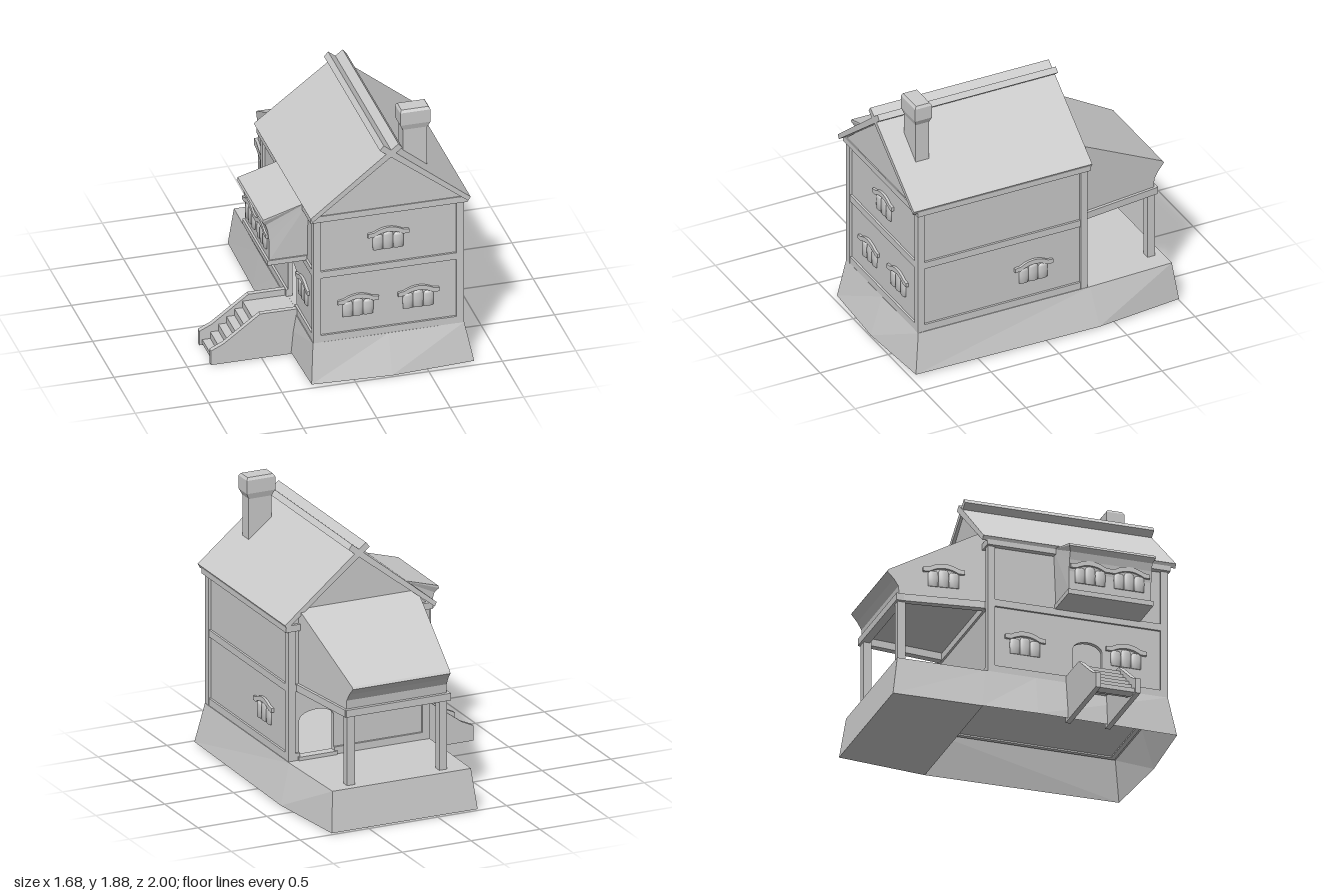
import * as THREE from 'three';
import { ConvexGeometry } from 'three/addons/geometries/ConvexGeometry.js';

const mat = new THREE.MeshStandardMaterial({ color: 0xcccccc, flatShading: true, side: THREE.DoubleSide });
const smooth = new THREE.MeshStandardMaterial({ color: 0xcccccc, side: THREE.DoubleSide });
const q = Math.PI / 2;

function add(parent, name, geometry, material = mat) {
  const mesh = new THREE.Mesh(geometry, material);
  mesh.name = name;
  parent.add(mesh);
  return mesh;
}

// Box given by its limits on each axis
function box(parent, name, x0, x1, y0, y1, z0, z1) {
  const mesh = add(parent, name, new THREE.BoxGeometry(x1 - x0, y1 - y0, z1 - z0));
  mesh.position.set((x0 + x1) / 2, (y0 + y1) / 2, (z0 + z1) / 2);
}

// Profile in x,y extruded from z0 to z1
function prism(points, z0, z1) {
  const shape = new THREE.Shape(points.map(p => new THREE.Vector2(...p)));
  return new THREE.ExtrudeGeometry(shape, { depth: z1 - z0, bevelEnabled: false }).translate(0, 0, z0);
}

// Move every vertex by a rule
function bend(g, rule) {
  const p = g.attributes.position, v = new THREE.Vector3();
  for (let i = 0; i < p.count; i++) {
    v.fromBufferAttribute(p, i);
    rule(v);
    p.setXYZ(i, v.x, v.y, v.z);
  }
  g.computeVertexNormals();
  return g;
}

// Window of three bulging panes under a curved hood, facing local +z
function addWindow(parent, x, y, z, turn) {
  const win = new THREE.Group();
  win.name = 'window';
  const profile = [[0, 0], [0.034, 0], [0.036, 0.06], [0.035, 0.095], [0.027, 0.112], [0, 0.118]]
    .map(p => new THREE.Vector2(...p));
  for (const i of [-1, 0, 1]) {
    const pane = add(win, 'windowPane', new THREE.LatheGeometry(profile, 14), smooth);
    pane.position.x = i * 0.07;
    pane.scale.set(1, i ? 0.95 : 1.08, 0.42);
  }
  const hood = new THREE.Shape();
  hood.moveTo(-0.14, 0.1);
  hood.lineTo(-0.1, 0.1);
  hood.quadraticCurveTo(0, 0.16, 0.1, 0.1);
  hood.lineTo(0.14, 0.1);
  hood.lineTo(0.14, 0.128);
  hood.lineTo(0.1, 0.133);
  hood.quadraticCurveTo(0, 0.192, -0.1, 0.133);
  hood.lineTo(-0.14, 0.128);
  add(win, 'windowHood', new THREE.ExtrudeGeometry(hood, { depth: 0.018, bevelEnabled: false, curveSegments: 8 }));
  win.position.set(x, y, z);
  win.rotation.y = turn;
  parent.add(win);
}

// Wall with a doorway, extruded along local +z; a0..a1 is its span, door its centre
function addDoorWall(parent, a0, a1, door, w, h, x, z, turn) {
  const s = new THREE.Shape([[a0, 0.28], [a1, 0.28], [a1, 1.23], [a0, 1.23]].map(p => new THREE.Vector2(...p)));
  const hole = new THREE.Path();
  hole.moveTo(door - w, 0.291);
  hole.lineTo(door + w, 0.291);
  hole.lineTo(door + w, 0.29 + h);
  hole.absellipse(door, 0.29 + h, w, 0.06, 0, Math.PI, false);
  s.holes.push(hole);
  const mesh = add(parent, 'doorWall', new THREE.ExtrudeGeometry(s, { depth: 0.03, bevelEnabled: false }));
  mesh.position.set(x, 0, z);
  mesh.rotation.y = turn;
}

// Flared base: sides, deck and the closed underside of the porch part
function baseGeometry() {
  const foot = [[-0.29, -1], [0.77, -1], [0.84, -0.38], [0.82, 0.96], [0.25, 1], [-0.29, 0.97], [-0.31, 0], [-0.3, -0.38]];
  const top = [[-0.26, -0.96], [0.745, -0.96], [0.765, -0.35], [0.765, 0.915], [0.25, 0.917], [-0.265, 0.915],
    [-0.265, 0], [-0.265, -0.35]];
  const F = foot.map(([x, z]) => [x, 0.015, z]), T = top.map(([x, z]) => [x, 0.29, z]);
  const pos = [];
  const quad = (a, b, c, d) => pos.push(...a, ...b, ...c, ...a, ...c, ...d);
  for (let i = 0; i < 8; i++) {
    const j = (i + 1) % 8;
    quad(F[j], F[i], T[i], T[j]);
    pos.push(0.25, 0.29, 0, ...T[j], ...T[i]);
  }
  quad(F[0], F[1], F[2], F[7]);
  quad(F[7], F[2], T[2], T[7]);
  const g = new THREE.BufferGeometry();
  g.setAttribute('position', new THREE.Float32BufferAttribute(pos, 3));
  g.computeVertexNormals();
  return g;
}

export function createModel() {
  const model = new THREE.Group();
  model.name = 'house';
  add(model, 'base', baseGeometry());

  // Walls set back behind a timber frame
  box(model, 'frontWall', -0.245, 0.745, 0.28, 1.23, 0.87, 0.9);
  box(model, 'sideWall', 0.715, 0.745, 0.28, 1.23, -0.315, 0.9);
  addDoorWall(model, -0.315, 0.9, 0.365, 0.1, 0.26, -0.215, 0, -q);
  addDoorWall(model, -0.745, 0.245, -0.55, 0.125, 0.27, 0, -0.285, 2 * q);
  box(model, 'doorSill', 0.41, 0.69, 0.28, 0.315, -0.345, -0.28);
  for (const x of [-0.262, 0.712]) for (const z of [-0.332, 0.867])
    box(model, 'cornerPost', x, x + 0.05, 0.29, 1.2, z, z + 0.05);
  for (const [y0, y1, out] of [[0.29, 0.34, 0], [0.768, 0.817, 0], [1.195, 1.24, 0.025]]) {
    const x0 = -0.26 - out, x1 = 0.76 + out, z0 = -0.33 - out / 2, z1 = 0.915 + out / 2;
    box(model, 'frontBeam', x0, x1, y0, y1, z1 - 0.04, z1);
    box(model, 'sideBeam', x1 - 0.04, x1, y0, y1, z0, z1);
    if (y0 < 0.3) {
      // The sills stop at the doorways
      box(model, 'sideBeam', x0, x0 + 0.04, y0, y1, z0, 0.265);
      box(model, 'sideBeam', x0, x0 + 0.04, y0, y1, 0.465, z1);
      box(model, 'backBeam', x0, 0.425, y0, y1, z0, z0 + 0.04);
      box(model, 'backBeam', 0.675, x1, y0, y1, z0, z0 + 0.04);
    } else {
      box(model, 'sideBeam', x0, x0 + 0.04, y0, y1, z0, z1);
      box(model, 'backBeam', x0, x1, y0, y1, z0, z0 + 0.04);
    }
  }

  // Gable and two roof slabs that cross at the ridge
  add(model, 'gable', prism([[-0.27, 1.22], [0.77, 1.22], [0.25, 1.66]], -0.32, 0.92));
  for (const [s, lean] of [[1, 0.08], [-1, 0.03]]) {
    const half = [[-0.545, 1.25], [-0.53, 1.222], [0.077, 1.698], [0.05, 1.732]];
    const slab = prism(half.map(([x, y]) => [0.25 + s * x, y]), -0.335 - lean / 2, 0.962);
    add(model, 'roofSlab', bend(slab, v => { v.z += (v.y - 1.24) * (v.z < 0 ? lean : 0.03); }));
  }

  // Chimney with a bevelled cap
  const chimney = new THREE.Group();
  chimney.name = 'chimney';
  box(chimney, 'chimneyShaft', 0.375, 0.54, 1.4, 1.77, 0.722, 0.818);
  const rings = [[0.083, 0.05, 1.74], [0.103, 0.062, 1.78], [0.103, 0.062, 1.872], [0.092, 0.05, 1.89]];
  const capPoints = [];
  for (const [a, b, y] of rings) for (const i of [-1, 1]) for (const j of [-1, 1])
    capPoints.push(new THREE.Vector3(0.457 + i * a, y, 0.77 + j * b));
  add(chimney, 'chimneyCap', new ConvexGeometry(capPoints));
  model.add(chimney);

  // Lean-to room over the porch, narrowing to the back
  const narrow = v => {
    const t = (-v.z - 0.33) / 0.64;
    v.x = 0.25 + v.x * (0.43 - 0.075 * t);
  };
  const roomProfile = [[0.317, 0.82], [0.895, 0.82], [0.9, 0.88], [0.93, 0.93], [0.975, 0.98], [0.965, 0.995], [0.317, 1.338]];
  add(model, 'porchRoom', bend(prism(roomProfile, -1, 1), v => { v.set(v.z, v.y, -v.x); narrow(v); }));
  box(model, 'porchBeam', -0.135, 0.625, 0.77, 0.82, -0.92, -0.86);
  for (const s of [-1, 1]) {
    const side = new THREE.BoxGeometry(0.12, 0.05, 0.58).translate(s * 0.99, 0.795, -0.62);
    add(model, 'porchBeam', bend(side, narrow));
    const x = 0.25 + s * 0.335;
    box(model, 'porchPost', x - 0.028, x + 0.028, 0.28, 0.78, -0.905, -0.85);
  }

  // Bay on the stair side, with a flared eave
  const bay = prism([[-0.24, 0.84], [-0.505, 0.84], [-0.505, 0.98], [-0.515, 1.06], [-0.53, 1.11],
    [-0.557, 1.14], [-0.55, 1.158], [-0.24, 1.25]], 0.13, 0.73);
  add(model, 'bay', bend(bay, v => { if (v.y < 1.12) v.z = 0.43 + (v.z - 0.43) * 0.95; }));
  box(model, 'bayLedge', -0.52, -0.25, 0.81, 0.845, 0.135, 0.725);

  // Steps between two side walls
  const stairs = new THREE.Group();
  stairs.name = 'stairs';
  const cheek = [[-0.25, 0.005], [-0.845, 0.005], [-0.845, 0.11], [-0.76, 0.15], [-0.51, 0.335], [-0.25, 0.335]];
  for (const z of [0.21, 0.485]) add(stairs, 'stairWall', prism(cheek, z, z + 0.035));
  for (let i = 0; i < 6; i++) {
    const x = -0.825 + i * 0.055, y = 0.045 + i * 0.049;
    box(stairs, 'step', x, i === 5 ? -0.24 : x + 0.075, Math.max(0.015, y - 0.06), y, 0.24, 0.49);
  }
  model.add(stairs);

  // Windows: position and facing
  for (const w of [[0.25, 0.92, 0.9, 0], [0.045, 0.45, 0.9, 0], [0.455, 0.45, 0.9, 0], [0.745, 0.45, 0.06, q],
    [-0.245, 0.45, -0.07, -q], [-0.245, 0.47, 0.63, -q], [-0.507, 0.9, 0.29, -q], [-0.507, 0.9, 0.56, -q],
    [-0.148, 0.9, -0.6, -q - 0.117]]) addWindow(model, ...w);
  return model;
}
